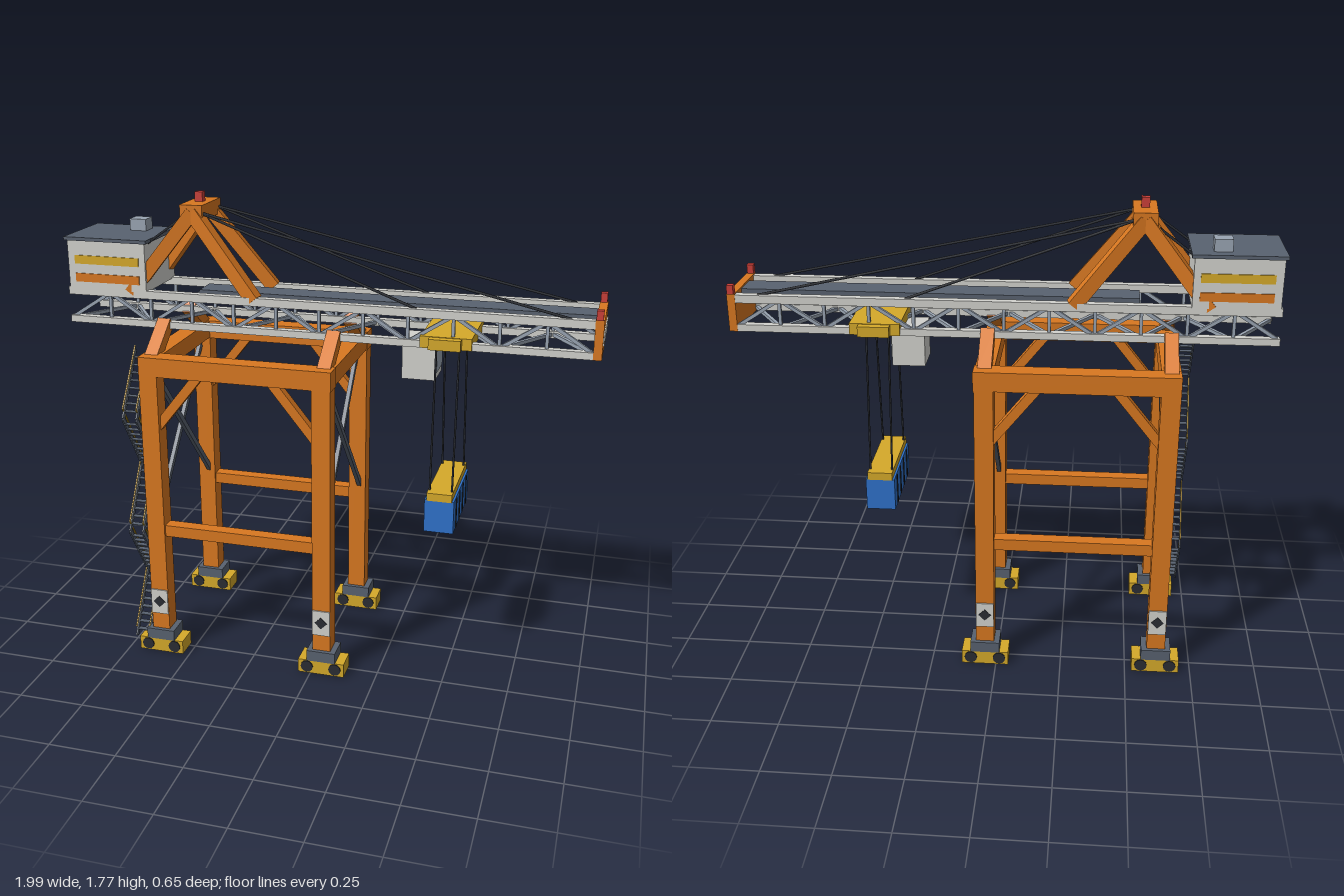
import * as THREE from 'three';

const mat = (name, color) => {
  const m = new THREE.MeshStandardMaterial({ color });
  m.name = name;
  return m;
};

export function createModel() {
  const orange = mat('orange paint', 0xd97820);
  const yellow = mat('yellow paint', 0xd6aa2a);
  const light = mat('light grey', 0xd3d3ce);
  const steel = mat('mid grey steel', 0x9aa5b3);
  const slate = mat('slate grey', 0x596270);
  const dark = mat('near black', 0x2a2d33);
  const blue = mat('container blue', 0x2f72cc);
  const red = mat('lamp red', 0xcc3f38);

  const model = new THREE.Group();
  model.name = 'gantryCrane';
  const V = (x, y, z) => new THREE.Vector3(x, y, z);

  const group = (name) => {
    const g = new THREE.Group();
    g.name = name;
    model.add(g);
    return g;
  };
  const add = (parent, name, geo, m) => {
    const mesh = new THREE.Mesh(geo, m);
    mesh.name = name;
    parent.add(mesh);
    return mesh;
  };
  // Box given by its limits on each axis
  const box = (parent, name, m, [x0, x1], [y0, y1], [z0, z1]) => {
    const mesh = add(parent, name, new THREE.BoxGeometry(x1 - x0, y1 - y0, z1 - z0), m);
    mesh.position.set((x0 + x1) / 2, (y0 + y1) / 2, (z0 + z1) / 2);
    return mesh;
  };
  // Rectangular bar between two points: w sideways, h upwards
  const bar = (parent, name, m, a, b, w, h = w) => {
    const mesh = add(parent, name, new THREE.BoxGeometry(w, h, a.distanceTo(b)), m);
    mesh.position.copy(a).add(b).multiplyScalar(0.5);
    mesh.lookAt(b);
    return mesh;
  };
  // Thin round cable between two points
  const cable = (parent, name, a, b, r) => {
    const mesh = add(parent, name, new THREE.CylinderGeometry(r, r, a.distanceTo(b), 6), dark);
    mesh.position.copy(a).add(b).multiplyScalar(0.5);
    mesh.quaternion.setFromUnitVectors(V(0, 1, 0), b.clone().sub(a).normalize());
  };

  const legX = [-0.615, 0.042];
  const legZ = 0.275;
  const sides = [-1, 1];

  // Legs with bogies, wheels and marker plates
  const legs = group('legs');
  for (const x of legX) for (const s of sides) {
    const z = s * legZ;
    box(legs, 'leg', orange, [x - 0.035, x + 0.035], [0.1, 1.2], [z - 0.035, z + 0.035]);
    box(legs, 'bogie', yellow, [x - 0.09, x + 0.09], [0, 0.055], [z - 0.044, z + 0.044]);
    box(legs, 'bogieHead', slate, [x - 0.056, x + 0.056], [0.055, 0.098], [z - 0.047, z + 0.047]);
    for (const dx of [-0.055, 0.055]) {
      const wheel = add(legs, 'wheel', new THREE.CylinderGeometry(0.024, 0.024, 0.096, 12), dark);
      wheel.rotation.x = Math.PI / 2;
      wheel.position.set(x + dx, 0.029, z);
    }
    const face = z + s * 0.037;
    box(legs, 'markerPlate', light, [x - 0.034, x + 0.034], [0.167, 0.27], [face - 0.003, face + 0.003]);
    const diamond = add(legs, 'markerDiamond', new THREE.BoxGeometry(0.034, 0.034, 0.006), dark);
    diamond.position.set(x, 0.22, face + s * 0.002);
    diamond.rotation.z = Math.PI / 4;
  }

  // Portal beams, knee braces, cross bracing and boom supports
  const portal = group('portalFrame');
  for (const s of sides) {
    const z = s * legZ;
    box(portal, 'topBeam', orange, [-0.65, 0.08], [1.143, 1.215], [z - 0.036, z + 0.036]);
    box(portal, 'lowerBeam', orange, [-0.58, 0.007], [0.5, 0.545], [z - 0.025, z + 0.025]);
    bar(portal, 'kneeBrace', orange, V(-0.6, 0.935, z), V(-0.42, 1.16, z), 0.035);
    bar(portal, 'kneeBrace', orange, V(0.025, 0.935, z), V(-0.155, 1.16, z), 0.035);
  }
  for (const x of legX) {
    box(portal, 'crossBeam', orange, [x - 0.035, x + 0.035], [1.146, 1.212], [-0.27, 0.27]);
    for (const s of sides) {
      bar(portal, 'crossBrace', slate, V(x + s * 0.008, 1.13, s * 0.25), V(x + s * 0.008, 0.565, -s * 0.25), 0.016, 0.022);
      bar(portal, 'boomSupport', orange, V(x, 1.19, s * 0.265), V(x, 1.3, s * 0.118), 0.05, 0.045);
    }
  }

  // Stairs zigzagging up one leg
  const stairs = group('stairs');
  const flights = 5, rise = 0.23;
  for (let i = 0; i < flights; i++) {
    const z0 = i % 2 ? 0.17 : 0.31, z1 = i % 2 ? 0.31 : 0.17;
    const y0 = 0.05 + i * rise, y1 = y0 + rise;
    for (const x of [-0.722, -0.668]) {
      bar(stairs, 'stringer', slate, V(x, y0, z0), V(x, y1, z1), 0.006, 0.018);
      bar(stairs, 'handrail', yellow, V(x, y0 + 0.04, z0), V(x, Math.min(y1 + 0.04, 1.215), z1), 0.005);
    }
    for (let k = 1; k < 9; k++) {
      const t = k / 9, y = y0 + rise * t, z = z0 + (z1 - z0) * t;
      box(stairs, 'tread', slate, [-0.722, -0.668], [y - 0.0015, y + 0.0015], [z - 0.011, z + 0.011]);
    }
  }

  // Lattice boom: four chords, side lacing and floor lacing
  const boom = group('boom');
  const x0 = -0.995, x1 = 0.965, panels = 12, step = (x1 - x0) / panels;
  for (const s of sides) {
    const z = s * 0.122;
    box(boom, 'topChord', light, [x0, x1], [1.388, 1.418], [z - 0.015, z + 0.015]);
    box(boom, 'bottomChord', light, [x0, x1], [1.28, 1.306], [z - 0.015, z + 0.015]);
    for (let i = 0; i < panels; i++) {
      const a = x0 + i * step, up = i % 2 === 0;
      bar(boom, 'sideLacing', steel, V(a, up ? 1.295 : 1.4, z), V(a + step, up ? 1.4 : 1.295, z), 0.013);
      if (i) box(boom, 'post', steel, [a - 0.006, a + 0.006], [1.295, 1.4], [z - 0.006, z + 0.006]);
    }
  }
  for (let i = 0; i < panels; i++) {
    const a = x0 + i * step, s = i % 2 ? -1 : 1;
    bar(boom, 'floorLacing', steel, V(a, 1.293, s * 0.122), V(a + step, 1.293, -s * 0.122), 0.013);
  }
  box(boom, 'walkway', slate, [-0.5, 0.962], [1.398, 1.416], [-0.052, 0.052]);
  box(boom, 'endBeam', orange, [0.96, 0.99], [1.28, 1.422], [-0.138, 0.138]);
  box(boom, 'endPlate', light, [0.988, 0.994], [1.328, 1.372], [-0.12, 0.12]);
  for (const s of sides)
    box(boom, 'endLamp', red, [0.962, 0.986], [1.422, 1.456], [s * 0.132 - 0.012, s * 0.132 + 0.012]);

  // A-frame mast with lamp and stays
  const mast = group('mast');
  box(mast, 'mastHead', orange, [-0.548, -0.462], [1.68, 1.738], [-0.098, 0.098]);
  box(mast, 'mastLamp', red, [-0.52, -0.49], [1.738, 1.774], [-0.015, 0.015]);
  for (const s of sides) {
    for (const footX of [-0.745, -0.262])
      bar(mast, 'mastLeg', orange, V(-0.505, 1.71, s * 0.078), V(footX, 1.405, s * 0.118), 0.042, 0.05);
    const top = V(-0.475, 1.71, s * 0.082);
    for (const endX of [0.34, 0.88])
      cable(mast, 'foreStay', top, V(endX, 1.415, s * 0.12), 0.005);
    cable(mast, 'backStay', V(-0.53, 1.7, s * 0.082), V(-0.86, 1.46, s * 0.11), 0.005);
  }

  // Machinery house
  const house = group('machineryHouse');
  box(house, 'houseWalls', light, [-0.988, -0.678], [1.412, 1.595], [-0.138, 0.138]);
  box(house, 'houseRoof', slate, [-0.998, -0.668], [1.595, 1.608], [-0.146, 0.146]);
  box(house, 'roofUnit', steel, [-0.81, -0.745], [1.608, 1.652], [-0.1, -0.038]);
  for (const s of sides) {
    const z = s * 0.139;
    box(house, 'yellowStripe', yellow, [-0.96, -0.703], [1.508, 1.54], [z - 0.003, z + 0.003]);
    box(house, 'orangeStripe', orange, [-0.96, -0.703], [1.44, 1.472], [z - 0.003, z + 0.003]);
  }

  // Trolley with operator cab
  const trolley = group('trolley');
  box(trolley, 'trolleyFrame', yellow, [0.36, 0.545], [1.282, 1.325], [-0.145, 0.145]);
  for (const s of sides)
    box(trolley, 'trolleyEnd', yellow, [0.395, 0.51], [1.284, 1.323], [s * 0.16 - 0.015, s * 0.16 + 0.015]);
  box(trolley, 'cab', light, [0.282, 0.405], [1.138, 1.284], [-0.068, 0.068]);
  box(trolley, 'cabWindow', steel, [0.403, 0.409], [1.165, 1.25], [-0.058, 0.058]);

  // Hoist cables, spreader and container
  const load = group('load');
  for (const x of [0.411, 0.494]) for (const s of sides)
    cable(load, 'hoistCable', V(x, 1.29, s * 0.09), V(x, 0.735, s * 0.135), 0.004);
  box(load, 'spreader', yellow, [0.406, 0.5], [0.708, 0.738], [-0.17, 0.17]);
  box(load, 'container', blue, [0.398, 0.508], [0.583, 0.71], [-0.167, 0.167]);
  for (const x of [0.398, 0.508]) for (const z of [-0.112, -0.037, 0.037, 0.112])
    box(load, 'containerRib', dark, [x - 0.003, x + 0.003], [0.588, 0.705], [z - 0.006, z + 0.006]);

  return model;
}
